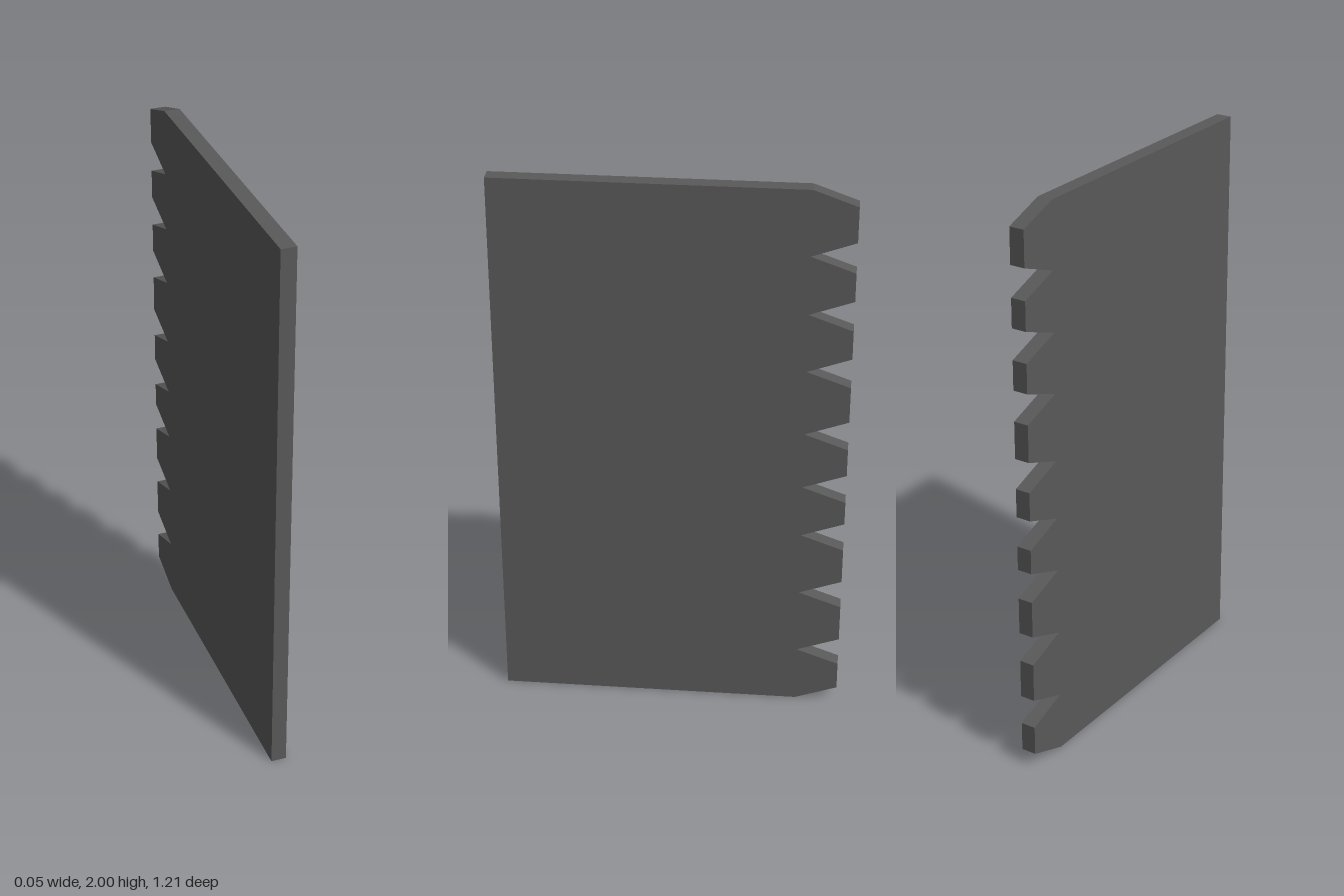
import * as THREE from 'three';

const THICKNESS = 0.054;
const FRONT = -0.605; // profile x runs towards the back (-z)
const ROOT = 0.455;
const TIP = 0.605;
const INSET = 0.054; // how far each tooth flank rises between root and tip

// Heights of the notch bottoms; one tooth sits between each pair
const ROOTS = [0, 0.213, 0.46, 0.7, 0.895, 1.105, 1.345, 1.557, 1.767, 2];

export function createModel() {
  const group = new THREE.Group();
  group.name = 'toothedPanel';
  const darkGrey = new THREE.MeshStandardMaterial({ color: 0x595959 });
  darkGrey.name = 'darkGrey';

  // Side outline: straight front edge, tapered flat-tipped teeth at the back
  const outline = new THREE.Shape();
  outline.moveTo(FRONT, 0);
  outline.lineTo(ROOT, 0);
  for (let i = 0; i < ROOTS.length - 1; i++) {
    outline.lineTo(TIP, ROOTS[i] + INSET);
    outline.lineTo(TIP, ROOTS[i + 1] - INSET);
    outline.lineTo(ROOT, ROOTS[i + 1]);
  }
  outline.lineTo(FRONT, 2);
  outline.closePath();

  // Thin slab standing in the y-z plane
  const geometry = new THREE.ExtrudeGeometry(outline, { depth: THICKNESS, bevelEnabled: false });
  geometry.translate(0, 0, -THICKNESS / 2);
  geometry.rotateY(Math.PI / 2);

  const panel = new THREE.Mesh(geometry, darkGrey);
  panel.name = 'panel';
  group.add(panel);
  return group;
}
